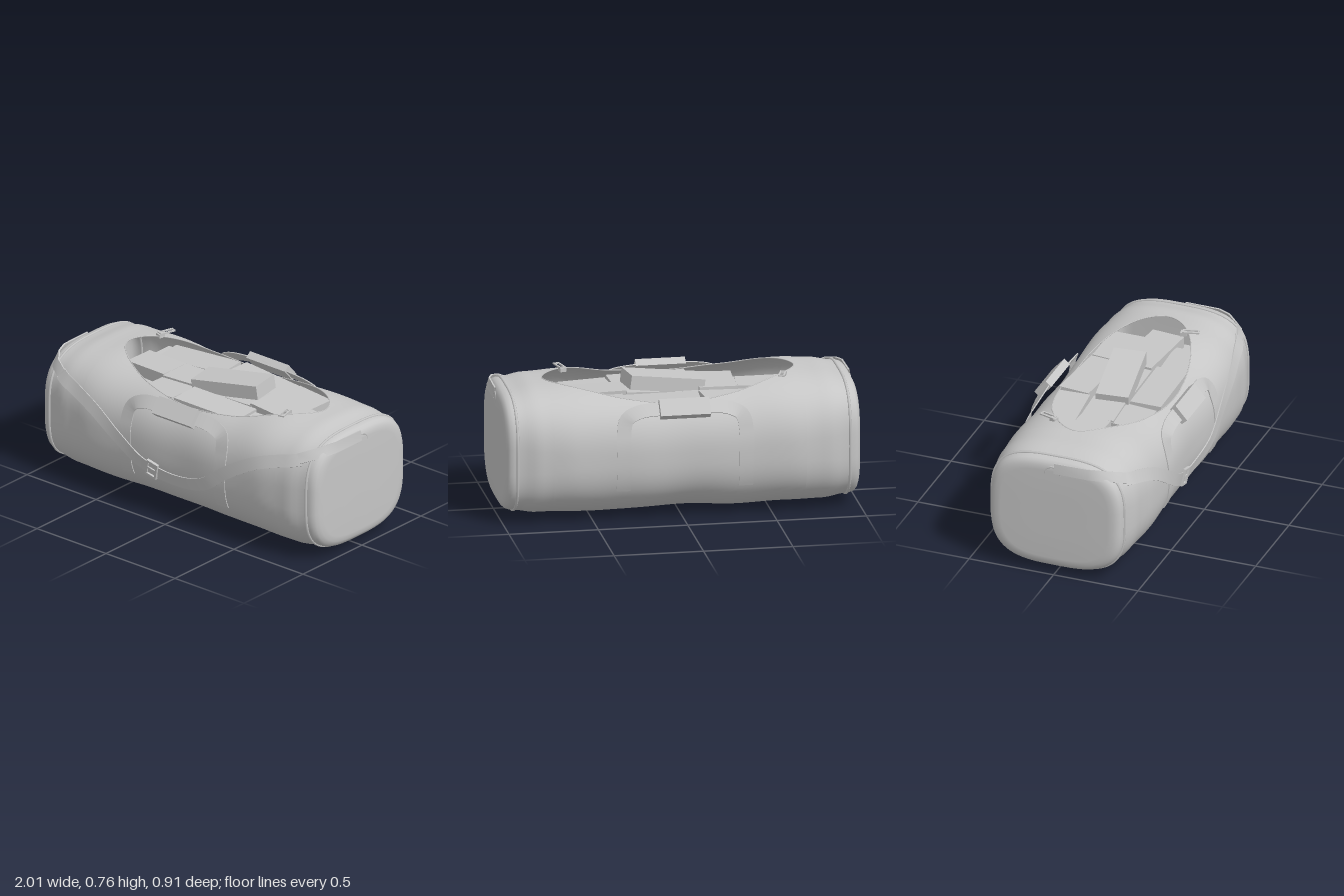
import * as THREE from 'three';
import { mergeVertices, toCreasedNormals } from 'three/addons/utils/BufferGeometryUtils.js';

const V = (x, y, z) => new THREE.Vector3(x, y, z);
const fabric = new THREE.MeshStandardMaterial({ color: 0xc6c6c6, side: THREE.DoubleSide });
fabric.name = 'grey fabric';

// Table lookup on |x|, smoothed between rows
const xs = [0, 0.3, 0.6, 0.8, 0.93];
function look(table, x) {
  const t = Math.min(Math.abs(x), 0.93);
  let i = 0;
  while (i < 3 && t > xs[i + 1]) i++;
  return THREE.MathUtils.lerp(table[i], table[i + 1], THREE.MathUtils.smoothstep(t, xs[i], xs[i + 1]));
}

// Rounded cross-section of the bag at x: half depth, centre, half height, squareness
function section(x) {
  const top = look([0.728, 0.737, 0.75, 0.737, 0.712], x);
  const bottom = look([0.014, 0.005, 0.008, 0.016, 0.04], x);
  return {
    a: look([0.432, 0.436, 0.441, 0.425, 0.392], x),
    cy: (top + bottom) / 2, h: (top - bottom) / 2,
    n: look([2.5, 2.5, 2.6, 2.8, 3.2], x),
  };
}
const spow = (v, p) => Math.sign(v) * Math.pow(Math.abs(v), p);

// Point on the bag skin; angle 0 is the top and +90 degrees the front
function skin(x, ang, scale = 1) {
  const { a, cy, h, n } = section(x);
  const soft = 1 - Math.pow(Math.min(Math.abs(x) / 0.93, 1), 4);
  const fold = 1 + 0.006 * soft * (Math.sin(9 * x + 3 * ang) + Math.sin(15 * x - 2 * ang + 1) * 0.7);
  return V(x, cy + h * spow(Math.cos(ang), 2 / n) * scale * fold, a * spow(Math.sin(ang), 2 / n) * scale * fold);
}

function gridGeometry(fn, nu, nv) {
  const pos = [], idx = [];
  for (let i = 0; i <= nu; i++) for (let j = 0; j <= nv; j++) pos.push(...fn(i, j).toArray());
  for (let i = 0; i < nu; i++) for (let j = 0; j < nv; j++) {
    const a = i * (nv + 1) + j, c = a + nv + 1;
    idx.push(a, a + 1, c, a + 1, c + 1, c);
  }
  const g = new THREE.BufferGeometry();
  g.setAttribute('position', new THREE.Float32BufferAttribute(pos, 3));
  g.setIndex(idx);
  const m = mergeVertices(g, 1e-5);
  m.computeVertexNormals();
  return m;
}

// Angle at which the top opening's edge lies
function openingAngle(x) {
  const u = Math.min(1, Math.abs((x - 0.025) / 0.705));
  const w = 0.312 * Math.pow(Math.max(0, 1 - Math.pow(u, 2.1)), 0.58);
  const { a, n } = section(x);
  return Math.asin(Math.pow(w / a, n / 2));
}

// Flat webbing through frames of point and outward normal
function ribbon(frames, width, thick) {
  const rows = frames.map(({ p, n }, i) => {
    const t = frames[Math.min(i + 1, frames.length - 1)].p.clone().sub(frames[Math.max(i - 1, 0)].p).normalize();
    const s = n.clone().cross(t).normalize();
    return [[-1, 0], [1, 0], [1, 1], [-1, 1], [-1, 0]].map(([k, l]) =>
      p.clone().addScaledVector(s, k * width / 2).addScaledVector(n, l * thick));
  });
  return toCreasedNormals(gridGeometry((i, j) => rows[i][4 - j], rows.length - 1, 4), 0.7);
}

// Frames along an x,y path laid on the front (+1) or back (-1) of the bag
function facePath(points, side, lift, count = 60) {
  const curve = new THREE.CatmullRomCurve3(points.map(([x, y]) => V(x, y, 0)), false, 'centripetal');
  return curve.getSpacedPoints(count).map((q) => {
    const { cy, h, n } = section(q.x);
    const c = THREE.MathUtils.clamp((q.y - cy) / h, -1, 1);
    const ang = side * Math.acos(spow(c, n / 2));
    const p = skin(q.x, ang);
    const dx = skin(q.x + 0.02, ang).sub(skin(q.x - 0.02, ang));
    const da = skin(q.x, ang + 0.03).sub(skin(q.x, ang - 0.03));
    const nor = da.cross(dx).normalize();
    return { p: p.addScaledVector(nor, lift(q)), n: nor };
  });
}

// Rectangular metal frame with a window, lying in its own xy plane
function frameGeometry(w, h, bar, depth) {
  const rect = (T, x, y) => new T([[-x, -y], [x, -y], [x, y], [-x, y]].map(([a, b]) => new THREE.Vector2(a, b)));
  const s = rect(THREE.Shape, w / 2, h / 2);
  s.holes.push(rect(THREE.Path, w / 2 - bar, h / 2 - bar));
  return new THREE.ExtrudeGeometry(s, { depth, bevelEnabled: false });
}

export function createModel() {
  const bag = new THREE.Group();
  bag.name = 'duffelBag';
  const add = (name, geo, parent = bag) => {
    const m = new THREE.Mesh(geo, fabric);
    m.name = name;
    parent.add(m);
    return m;
  };

  // Main tube, left open along the zipped mouth
  const cols = [];
  for (let i = 0; i < 8; i++) cols.push(-0.93 + 0.25 * i / 8);
  for (let i = 0; i <= 48; i++) cols.push(0.025 - 0.705 * Math.cos(Math.PI * i / 48));
  for (let i = 1; i <= 7; i++) cols.push(0.73 + 0.2 * i / 7);
  add('body', gridGeometry((i, j) => {
    const t = openingAngle(cols[i]);
    return skin(cols[i], t + (2 * Math.PI - 2 * t) * j / 72);
  }, cols.length - 1, 72));

  // Hem round the mouth
  const rim = [];
  for (let k = 0; k < 72; k++) {
    const b = k / 72 * Math.PI * 2, x = 0.025 - 0.705 * Math.cos(b);
    rim.push(skin(x, Math.sign(Math.sin(b)) * openingAngle(x)));
  }
  add('openingHem', new THREE.TubeGeometry(new THREE.CatmullRomCurve3(rim, true), 120, 0.003, 6, true));

  // Padded ends, piping, strap ends and rings; each ring gives x and scale
  const capRings = [[0.93, 1], [0.95, 0.995], [0.968, 0.978], [0.982, 0.945], [0.991, 0.89], [0.995, 0.81], [0.996, 0.4], [0.996, 0]];
  const cy = section(0.93).cy;
  for (const s of [-1, 1]) {
    const rings = s > 0 ? capRings : [...capRings].reverse();
    add('endPanel', gridGeometry((i, j) => {
      const p = skin(0.93, 2 * Math.PI * j / 72, rings[i][1]);
      return p.setX(s * rings[i][0]);
    }, rings.length - 1, 72));
    const loop = [];
    for (let k = 0; k < 64; k++) loop.push(skin(0.93, k / 32 * Math.PI, 1.002).setX(s * 0.93));
    add('piping', new THREE.TubeGeometry(new THREE.CatmullRomCurve3(loop, true), 128, 0.008, 6, true));
    const ends = [[0.86, 0.615, 0.37, 0.15, 0.5, 0.85], [0.925, 0.645, 0.338, 0.5, 0.5, 0.7],
      [0.97, 0.662, 0.27, 0.85, 0.4, 0.35], [0.988, 0.667, 0.2, 1, 0.2, 0.1], [0.988, 0.667, 0, 1, 0.1, 0]];
    add('strapEnd', ribbon(ends.map((e) => ({ p: V(s * e[0], e[1], e[2]), n: V(s * e[3], e[4], e[5]).normalize() })), 0.06, 0.009));
    const ring = add('strapRing', new THREE.TorusGeometry(0.045, 0.006, 6, 16, Math.PI));
    ring.position.set(s * 0.99, cy + 0.252, -0.01);
    ring.rotation.y = Math.PI / 2;
  }

  // Carry handles on both faces
  const handlePath = [[-0.342, 0.19], [-0.342, 0.35], [-0.342, 0.52], [-0.325, 0.585], [-0.26, 0.612], [-0.12, 0.617],
    [0.12, 0.617], [0.26, 0.612], [0.325, 0.585], [0.342, 0.52], [0.342, 0.35], [0.342, 0.19]];
  for (const side of [1, -1]) {
    const handle = new THREE.Group();
    handle.name = side > 0 ? 'frontHandle' : 'backHandle';
    bag.add(handle);
    const lift = (q) => 0.048 * THREE.MathUtils.smoothstep(q.y, 0.5, 0.615) * (1 - Math.pow(Math.abs(q.x) / 0.4, 2));
    add('handleWebbing', ribbon(facePath(handlePath, side, lift, 80), 0.08, 0.006), handle);
    const grip = add('grip', new THREE.BoxGeometry(0.28, 0.104, 0.044), handle);
    grip.position.set(0, 0.648, side * 0.402);
    grip.rotation.x = -side * 0.72;
  }

  // Shoulder strap drooping across the front, with its buckle
  const strapPath = [[-0.87, 0.61], [-0.6, 0.52], [-0.4, 0.4], [-0.22, 0.295], [0, 0.25],
    [0.22, 0.295], [0.4, 0.42], [0.6, 0.53], [0.87, 0.61]];
  const strapLift = (q) => 0.006 * (1 - THREE.MathUtils.smoothstep(Math.abs(q.x), 0.35, 0.6));
  add('shoulderStrap', ribbon(facePath(strapPath, 1, strapLift), 0.072, 0.006));
  const buckle = add('buckle', frameGeometry(0.078, 0.1, 0.013, 0.016));
  buckle.position.set(-0.145, 0.275, 0.434);
  buckle.rotation.set(0.14, 0, -0.25);
  const bar = add('buckleBar', new THREE.BoxGeometry(0.06, 0.012, 0.012), buckle);
  bar.position.z = 0.008;

  // Zip pulls at both ends of the mouth
  for (const [x, y, z, turn] of [[-0.583, 0.75, -0.195, -0.3], [0.598, 0.746, 0.185, 0.25]]) {
    const pull = new THREE.Group();
    pull.name = 'zipPull';
    pull.position.set(x, y, z);
    pull.rotation.y = turn;
    bag.add(pull);
    add('pullTab', frameGeometry(0.036, 0.095, 0.009, 0.008), pull).rotation.x = -Math.PI / 2;
    const slider = add('slider', new THREE.BoxGeometry(0.035, 0.022, 0.035), pull);
    slider.position.set(0, -0.008, -Math.sign(z) * 0.04);
  }

  // Bundles packed inside: x, top y, z, width, depth, turn, tilt
  const bundles = [
    [-0.495, 0.66, -0.01, 0.28, 0.18, -0.06, 0.03], [-0.35, 0.655, -0.2, 0.44, 0.18, 0.08, 0.04],
    [0.1, 0.66, -0.215, 0.43, 0.18, -0.07, -0.03], [0.42, 0.655, -0.19, 0.24, 0.18, -0.06, -0.04],
    [-0.245, 0.665, 0, 0.23, 0.19, 0.05, 0.02], [-0.25, 0.65, 0.175, 0.23, 0.18, -0.07, 0.02],
    [0.1, 0.66, 0.19, 0.44, 0.18, 0.03, -0.02], [0.48, 0.665, 0, 0.43, 0.19, -0.06, -0.04],
    [0.46, 0.64, 0.18, 0.27, 0.16, 0.06, -0.03], [0.07, 0.655, -0.01, 0.4, 0.19, 0, 0.03],
    [0.055, 0.735, -0.015, 0.43, 0.185, 0.14, 0.14],
  ];
  for (const [x, y, z, w, d, turn, tilt] of bundles) {
    const b = add('bundle', new THREE.BoxGeometry(w, 0.08, d));
    b.position.set(x, y - 0.04, z);
    b.rotation.set(0.02, turn, tilt);
  }
  const layer = add('lowerBundles', new THREE.BoxGeometry(1.4, 0.1, 0.66));
  layer.position.set(0.02, 0.54, 0);
  return bag;
}
